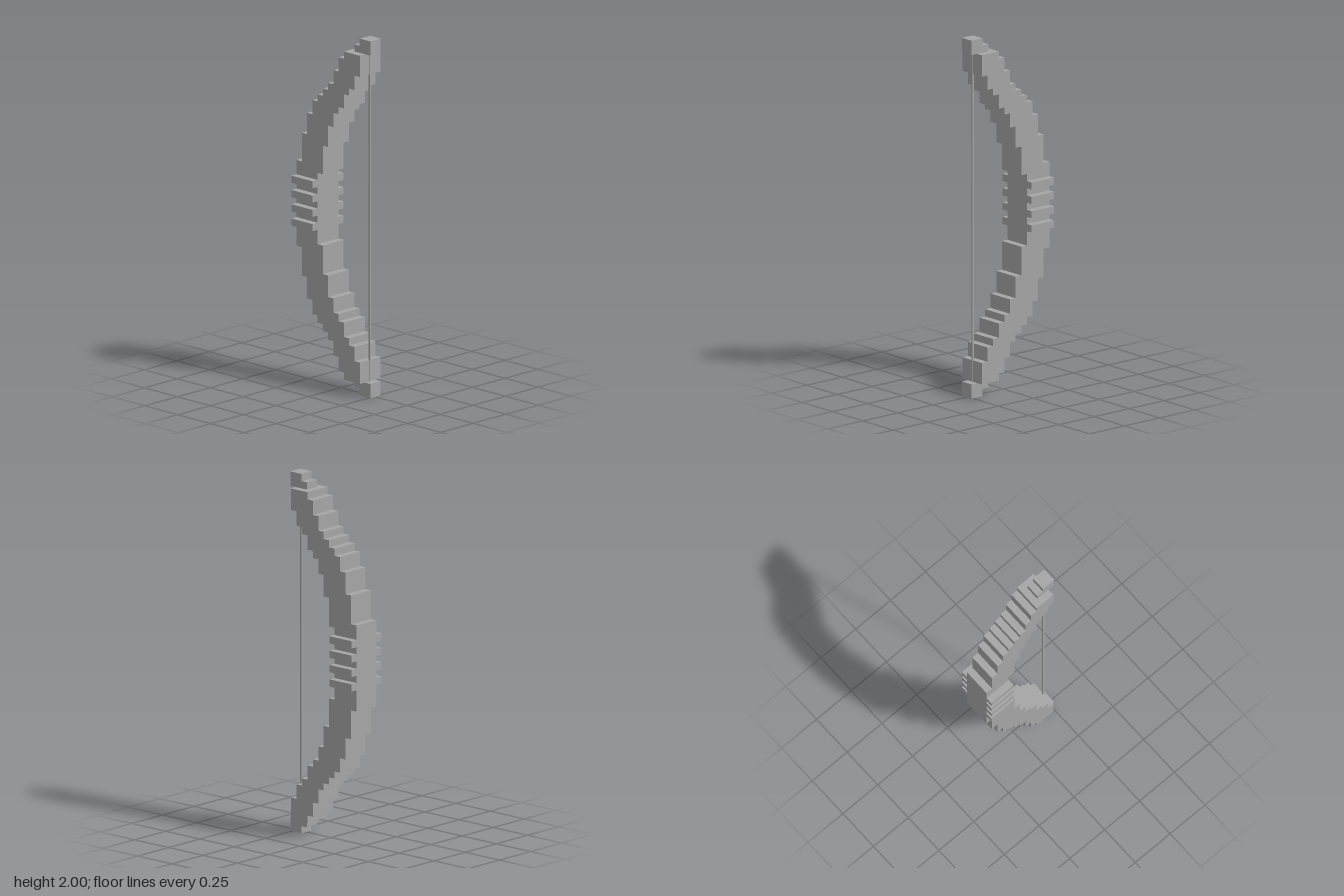
import * as THREE from 'three';

// Staircase steps of the upper limb: [x of the edge, height where that step ends]
const OUTER = [[-0.26, 1.24], [-0.22, 1.4], [-0.18, 1.52], [-0.14, 1.6], [-0.1, 1.64],
  [-0.06, 1.68], [-0.02, 1.72], [0.02, 1.8], [0.06, 1.88], [0.1, 1.92]];
const INNER = [[-0.1, 1.2], [-0.06, 1.36], [-0.02, 1.48], [0.02, 1.56], [0.06, 1.6],
  [0.1, 1.68], [0.14, 1.72], [0.18, 1.8], [0.22, 1.92]];
const TIP = [[0.14, 1.92], [0.26, 1.92], [0.26, 2], [0.18, 2], [0.18, 1.96], [0.14, 1.96]];

// Corners of one stepped edge, from the bottom of the bow to the top
function steppedEdge(steps) {
  const upper = [];
  let y = null;
  for (const [x, end] of steps) {
    if (y !== null) upper.push([x, y]);
    upper.push([x, end]);
    y = end;
  }
  const lower = upper.map(([x, h]) => [x, 2 - h]).reverse();
  return [...lower, ...upper];
}

// Slab cut from an outline in the xy plane, centred on z = 0
function slab(points, depth) {
  const shape = new THREE.Shape(points.map(([x, y]) => new THREE.Vector2(x, y)));
  return new THREE.ExtrudeGeometry(shape, { depth, bevelEnabled: false }).translate(0, 0, -depth / 2);
}

export function createModel() {
  const group = new THREE.Group();
  const grey = new THREE.MeshStandardMaterial({ color: 0xa6a6a6 });
  grey.name = 'grey';

  const add = (name, geometry, x = 0, y = 0, z = 0) => {
    const mesh = new THREE.Mesh(geometry, grey);
    mesh.name = name;
    mesh.position.set(x, y, z);
    group.add(mesh);
  };

  // Curved bow body, both limbs in one piece
  add('bowBody', slab([...steppedEdge(INNER), ...steppedEdge(OUTER).reverse()], 0.16));

  // Narrow notched tips at both ends
  add('upperTip', slab(TIP, 0.08));
  add('lowerTip', slab(TIP.map(([x, y]) => [x, 2 - y]), 0.08));

  // Grip ridges on both sides of the handle
  const ridge = new THREE.BoxGeometry(0.16, 0.04, 0.04);
  for (const y of [0.9, 0.98, 1.06, 1.14]) {
    for (const side of [-1, 1]) add('gripRidge', ridge, -0.18, y, side * 0.1);
  }

  // Bowstring between the tips
  add('bowString', new THREE.BoxGeometry(0.01, 1.84, 0.01), 0.217, 1, 0);

  return group;
}
